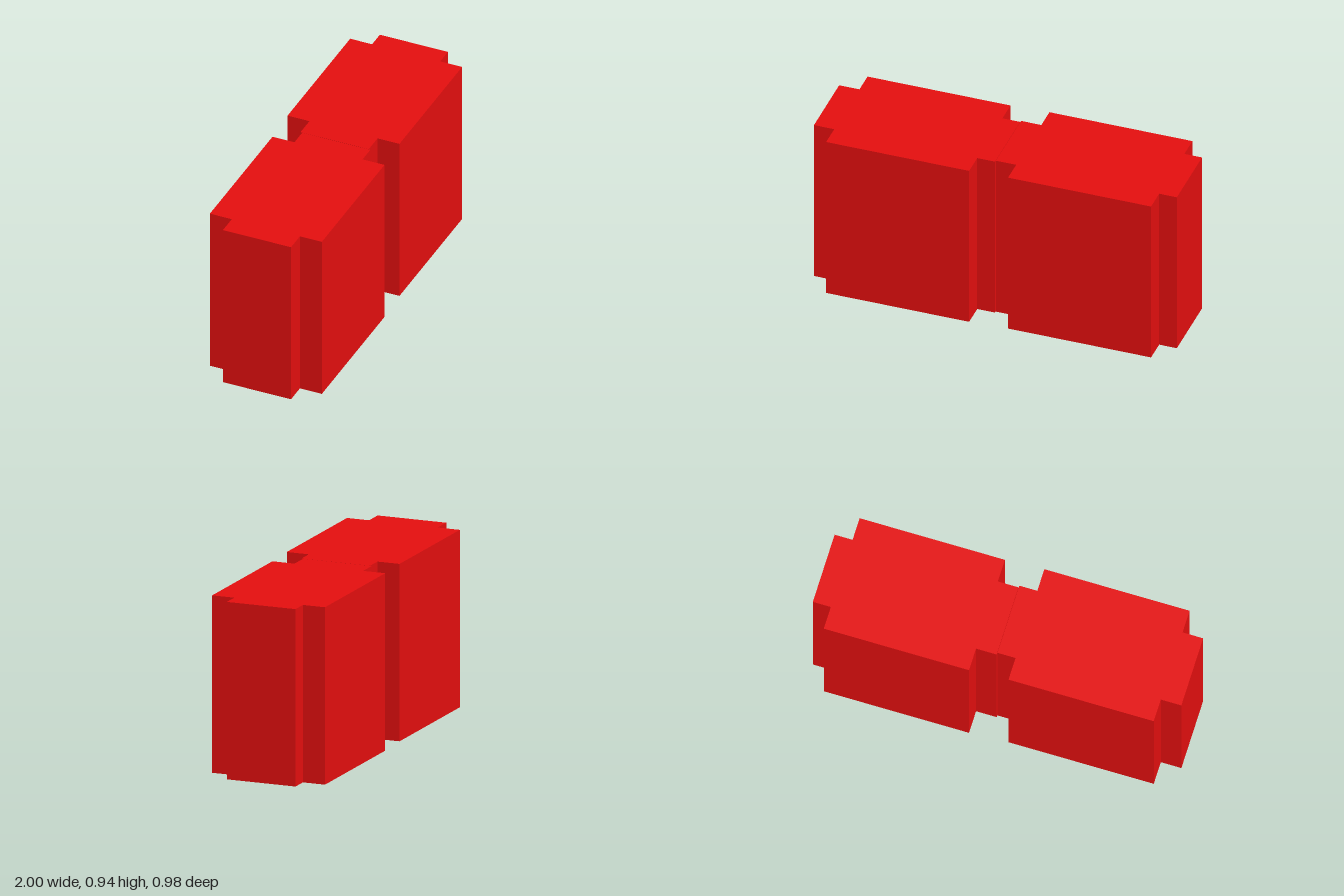
import * as THREE from 'three';

const HEIGHT = 0.935;
const ANGLE = THREE.MathUtils.degToRad(11.5);

// Cross-shaped plan: a wide main block with a narrower strip showing at both ends
function crossPlan() {
  const wide = 0.388, deep = 0.314; // main block half sizes
  const long = 0.491, narrow = 0.191; // end strip half sizes
  const shift = 0.007; // main block sits slightly off the strip's middle
  const a = shift - wide, b = shift + wide;
  return new THREE.Shape([
    [a, -deep], [b, -deep], [b, -narrow], [long, -narrow],
    [long, narrow], [b, narrow], [b, deep], [a, deep],
    [a, narrow], [-long, narrow], [-long, -narrow], [a, -narrow],
  ].map(([x, y]) => new THREE.Vector2(x, y)));
}

export function createModel() {
  const model = new THREE.Group();
  model.name = 'twinBlocks';

  const material = new THREE.MeshStandardMaterial({ color: 0xe60f0f });
  const geometry = new THREE.ExtrudeGeometry(crossPlan(), { depth: HEIGHT, bevelEnabled: false });
  geometry.rotateX(-Math.PI / 2); // stand the plan upright
  geometry.rotateY(ANGLE);

  // Two equal blocks end to end, with a slight sideways step at the joint
  for (const side of [-1, 1]) {
    const block = new THREE.Mesh(geometry, material);
    block.name = side > 0 ? 'leftBlock' : 'rightBlock';
    block.position.set(side * 0.481, 0, side * -0.103);
    model.add(block);
  }
  return model;
}
